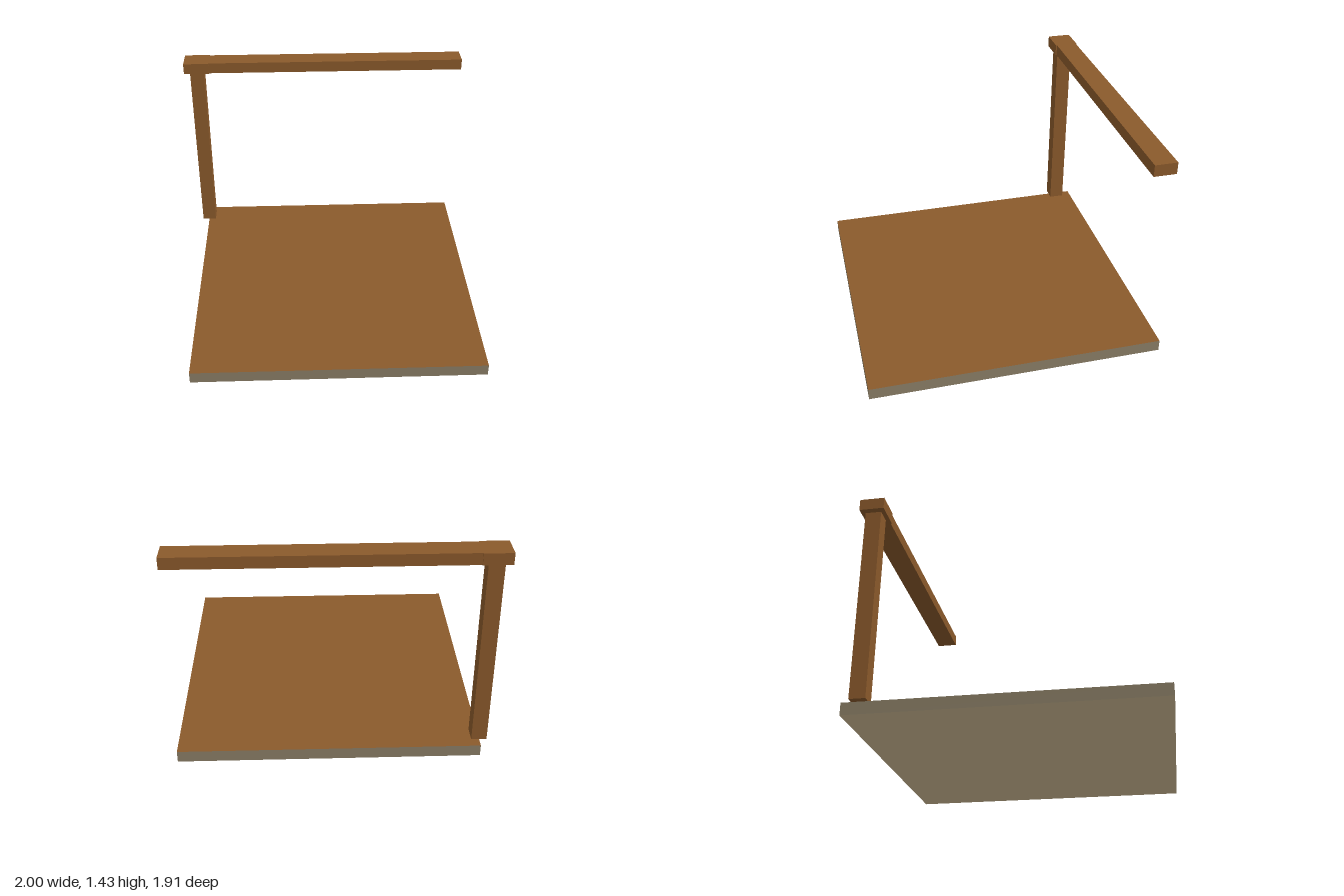
import * as THREE from 'three';

export function createModel() {
  const wood = new THREE.MeshStandardMaterial({ color: 0x8b5a2b });
  wood.name = 'brown wood';
  const stone = new THREE.MeshStandardMaterial({ color: 0x8b7e66 });
  stone.name = 'grey stone';
  const sand = new THREE.MeshStandardMaterial({ color: 0xd2be97 });
  sand.name = 'pale sand';

  const model = new THREE.Group();
  model.name = 'postAndBeam';

  // Box given by its [min, max] extent on each axis
  function box(name, x, y, z, material) {
    const size = [x, y, z].map(([a, b]) => b - a);
    const mid = [x, y, z].map(([a, b]) => (a + b) / 2);
    const mesh = new THREE.Mesh(new THREE.BoxGeometry(...size), material);
    mesh.position.set(...mid);
    mesh.name = name;
    model.add(mesh);
  }

  const floorY = 0.078, capY = 1.352, topY = 1.428;

  // Floor slab: wooden top face, stone sides, pale underside
  box('floorSlab', [-0.913, 1], [0, floorY], [-0.955, 0.955],
    [stone, stone, wood, sand, stone, stone]);

  // Corner post, slightly overhanging the slab
  box('post', [-0.96, -0.862], [floorY, capY], [-0.892, -0.79], wood);

  // Block on the post, and the slightly narrower beam running from it
  box('postCap', [-1, -0.822], [capY, topY], [-0.92, -0.762], wood);
  box('beam', [-0.822, 1], [capY, topY], [-0.914, -0.77], wood);

  return model;
}
